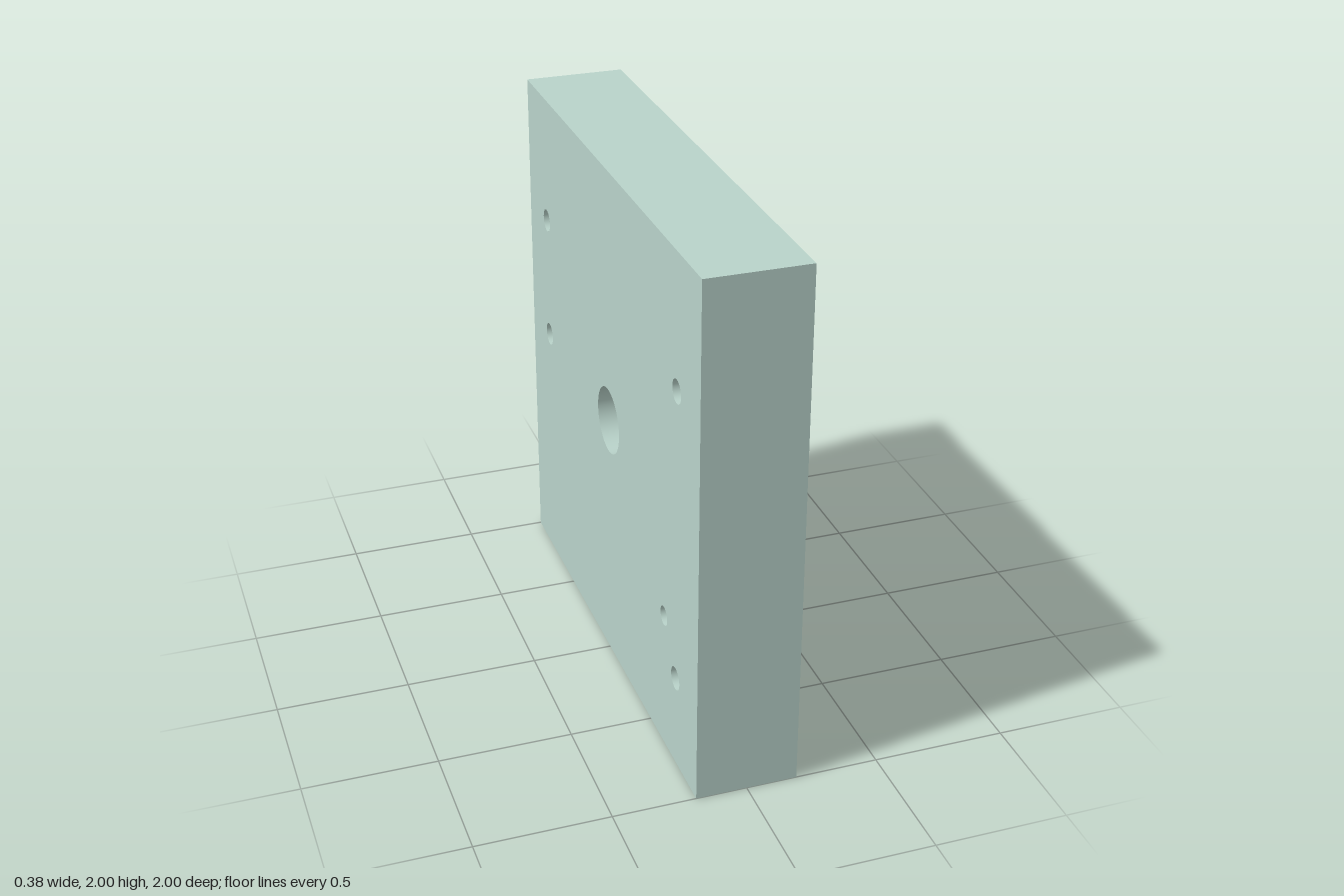
import * as THREE from 'three';

const HALF = 0.19;                                   // half plate thickness (x)
const MAIN = { z: 0.01, y: 1.01, r: 0.128 };         // large through hole
const MOUNTS = [[0.77, 1.5], [0.77, 0.36], [-0.77, 1.5], [-0.77, 1.01]];
const MOUNT_R = 0.044;
const PIN = { z: 0.645, y: 0.546, r: 0.037, depth: 0.19 };
const BORE = { x: -0.045, y: 0.985, r: 0.085, end: 0.53 }; // side bore along z
const SLOT = { z0: 0.19, z1: 0.53, y0: 0.905, y1: 0.955 };

const material = new THREE.MeshStandardMaterial({ color: 0xb9d3ca, side: THREE.DoubleSide });

export function createModel() {
  const group = new THREE.Group();

  function add(name, geometry) {
    const mesh = new THREE.Mesh(geometry, material);
    mesh.name = name;
    group.add(mesh);
    return mesh;
  }

  // Ruled surface between two curves a(t) and b(t), t from t0 to t1
  function ribbon(name, a, b, t0, t1, n) {
    const pos = [], index = [];
    for (let i = 0; i <= n; i++) {
      const t = t0 + (t1 - t0) * i / n;
      pos.push(...a(t), ...b(t));
      if (i < n) index.push(2 * i, 2 * i + 1, 2 * i + 2, 2 * i + 2, 2 * i + 1, 2 * i + 3);
    }
    const g = new THREE.BufferGeometry();
    g.setAttribute('position', new THREE.Float32BufferAttribute(pos, 3));
    g.setIndex(index);
    g.computeVertexNormals();
    return add(name, g);
  }

  // Large faces; s = 1 is the +x face, s = -1 the -x face
  function face(s) {
    const shape = new THREE.Shape([[-1, 0], [1, 0], [1, 2], [-1, 2]].map(p => new THREE.Vector2(...p)));
    const hole = (z, y, r) => shape.holes.push(new THREE.Path().absarc(-s * z, y, r, 0, Math.PI * 2, true));
    MOUNTS.forEach(([z, y]) => hole(z, y, MOUNT_R));
    hole(MAIN.z, MAIN.y, MAIN.r);
    if (s > 0) {
      const { z0, z1, y0, y1 } = SLOT;
      shape.holes.push(new THREE.Path([[-z1, y0], [-z1, y1], [-z0, y1], [-z0, y0]].map(p => new THREE.Vector2(...p))));
    } else hole(PIN.z, PIN.y, PIN.r);
    const g = new THREE.ShapeGeometry(shape, 32);
    g.rotateY(s * Math.PI / 2).translate(s * HALF, 0, 0);
    add(s > 0 ? 'slottedFace' : 'pinHoleFace', g);
  }
  face(1);
  face(-1);

  // Four narrow outer edges
  const corners = [[-1, 0], [1, 0], [1, 2], [-1, 2]];
  corners.forEach(([z, y], i) => {
    const [z2, y2] = corners[(i + 1) % 4];
    const at = x => t => [x, y + (y2 - y) * t, z + (z2 - z) * t];
    ribbon('outerEdge', at(HALF), at(-HALF), 0, 1, 1);
  });

  // Walls of the round holes that run straight along x
  function holeWall(name, z, y, r, x0, x1) {
    const g = new THREE.CylinderGeometry(r, r, x1 - x0, 48, 1, true);
    g.rotateZ(Math.PI / 2).translate((x0 + x1) / 2, y, z);
    add(name, g);
  }
  MOUNTS.forEach(([z, y]) => holeWall('mountingHole', z, y, MOUNT_R, -HALF, HALF));

  // Blind pin hole
  holeWall('pinHole', PIN.z, PIN.y, PIN.r, -HALF, -HALF + PIN.depth);
  const floor = new THREE.CircleGeometry(PIN.r, 48);
  floor.rotateY(-Math.PI / 2).translate(-HALF + PIN.depth, PIN.y, PIN.z);
  add('pinHoleFloor', floor);

  // Main hole wall, opened on its +z side where the bore enters
  const wall = (t, x) => [x, MAIN.y + MAIN.r * Math.sin(t), MAIN.z + MAIN.r * Math.cos(t)];
  const gap = t => {
    const dy = MAIN.y + MAIN.r * Math.sin(t) - BORE.y;
    return Math.cos(t) > 0 ? Math.sqrt(Math.max(0, BORE.r ** 2 - dy ** 2)) : 0;
  };
  for (const s of [-1, 1]) {
    ribbon('mainHole', t => wall(t, s * HALF), t => wall(t, BORE.x + s * gap(t)), -Math.PI, Math.PI, 192);
  }

  // Side bore, from the main hole to its closed end
  const bore = (p, z) => [BORE.x + BORE.r * Math.cos(p), BORE.y + BORE.r * Math.sin(p), z];
  const mouth = p => {
    const dy = BORE.y + BORE.r * Math.sin(p) - MAIN.y;
    return bore(p, MAIN.z + Math.sqrt(MAIN.r ** 2 - dy ** 2));
  };
  const p0 = Math.asin((SLOT.y0 - BORE.y) / BORE.r);
  const p1 = Math.asin((SLOT.y1 - BORE.y) / BORE.r);
  ribbon('sideBore', mouth, p => bore(p, BORE.end), p1, p0 + Math.PI * 2, 64);
  ribbon('sideBore', mouth, p => bore(p, SLOT.z0), p0, p1, 12);
  add('boreEnd', new THREE.CircleGeometry(BORE.r, 48).rotateY(Math.PI).translate(BORE.x, BORE.y, BORE.end));

  // Slot walls between the +x face and the bore
  for (const z of [SLOT.z0, SLOT.z1]) {
    ribbon('slotEnd', p => bore(p, z), p => [HALF, bore(p, z)[1], z], p0, p1, 12);
  }
  for (const p of [p0, p1]) {
    ribbon('slotSide', z => bore(p, z), z => [HALF, bore(p, z)[1], z], SLOT.z0, SLOT.z1, 1);
  }

  return group;
}
